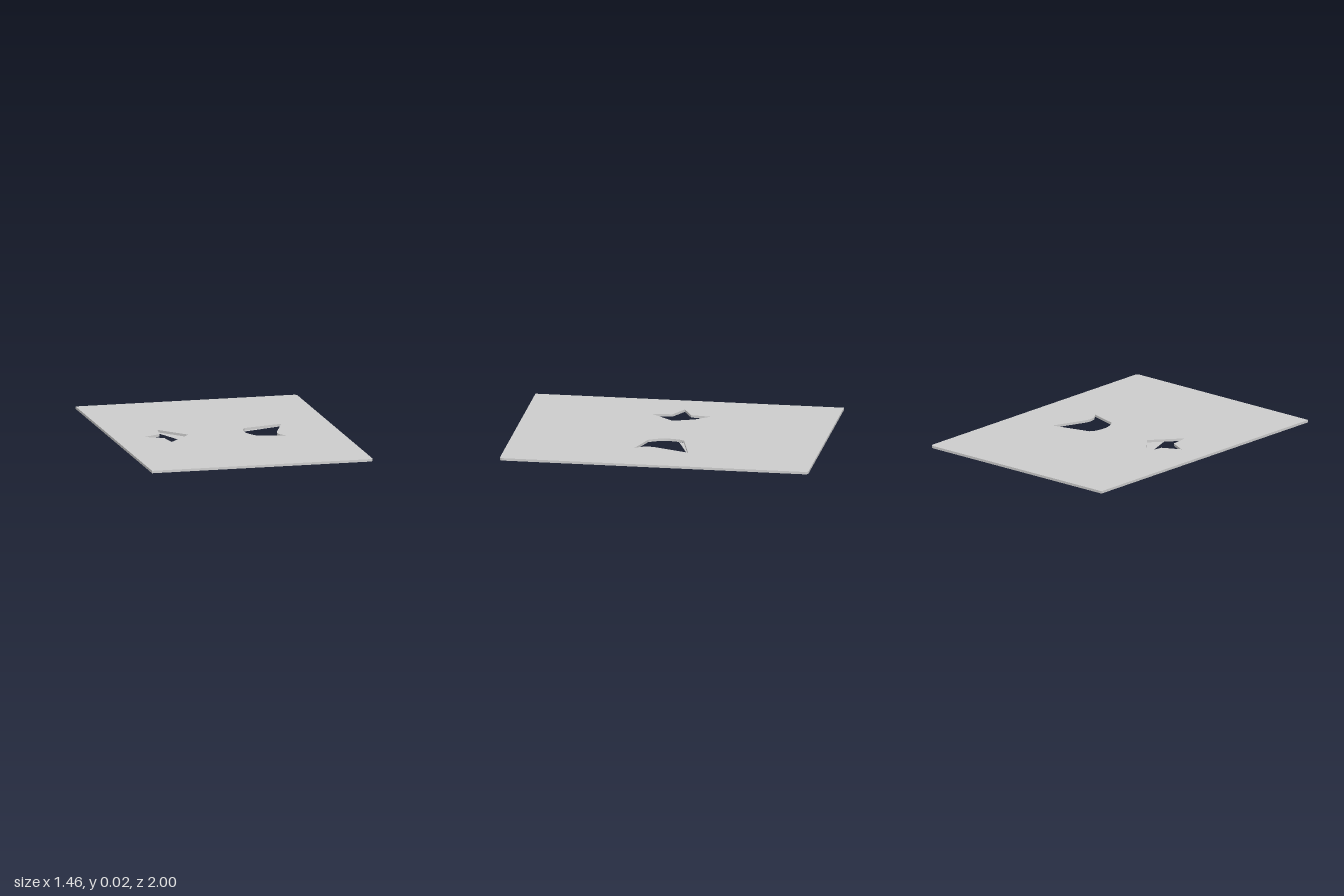
import * as THREE from 'three';

const T = 0.016; // plate thickness
const W = 0.73;  // half width
const L = 1;     // half length

// Draws are made in (x, z) and then laid flat
const layFlat = (geometry, y) => geometry.rotateX(Math.PI / 2).translate(0, y, 0);
const fromPoints = (points) => points.map(([x, z]) => new THREE.Vector2(x, z));

function plateOutline() {
  const r = 0.024;
  const s = new THREE.Shape();
  s.moveTo(-W, -L);
  s.lineTo(W - r, -L);
  s.quadraticCurveTo(W, -L, W, -L + r);
  s.lineTo(W, L - r);
  s.quadraticCurveTo(W, L, W - r, L);
  s.lineTo(-W, L);
  s.closePath();
  return s;
}

// Arrow-like star cut-out
function starHole() {
  return new THREE.Path(fromPoints([
    [-0.53, 0], [-0.412, -0.06], [-0.395, -0.187], [-0.237, 0],
    [-0.395, 0.187], [-0.412, 0.06],
  ]));
}

// Curved fin cut-out
function finHole() {
  const p = new THREE.Path();
  p.moveTo(0.42, -0.172);
  p.lineTo(0.163, -0.106);
  p.splineThru(fromPoints([[0.142, -0.07], [0.131, 0], [0.145, 0.07], [0.175, 0.124]]));
  p.lineTo(0.37, 0.183);
  p.splineThru(fromPoints([[0.337, 0.138], [0.327, 0.088], [0.338, 0.04]]));
  p.closePath();
  return p;
}

export function createModel() {
  const group = new THREE.Group();
  const material = new THREE.MeshStandardMaterial({ color: 0xcccccc });
  const thin = new THREE.MeshStandardMaterial({ color: 0xcccccc, side: THREE.DoubleSide });

  const add = (name, geometry, mat) => {
    const mesh = new THREE.Mesh(geometry, mat);
    mesh.name = name;
    group.add(mesh);
  };

  // Plate with both openings
  const outline = plateOutline();
  outline.holes.push(starHole(), finHole());
  const plate = new THREE.ExtrudeGeometry(outline, { depth: T, bevelEnabled: false, curveSegments: 6 });
  add('plate', layFlat(plate, T), material);

  // Thin floors that close part of each opening at the underside
  const floors = {
    starFloor: [[-0.395, -0.187], [-0.237, 0], [-0.308, 0.084], [-0.398, -0.157]],
    finFloor: [[0.42, -0.172], [0.163, -0.106], [0.142, -0.07]],
  };
  for (const [name, points] of Object.entries(floors)) {
    add(name, layFlat(new THREE.ShapeGeometry(new THREE.Shape(fromPoints(points))), 0), thin);
  }
  return group;
}
